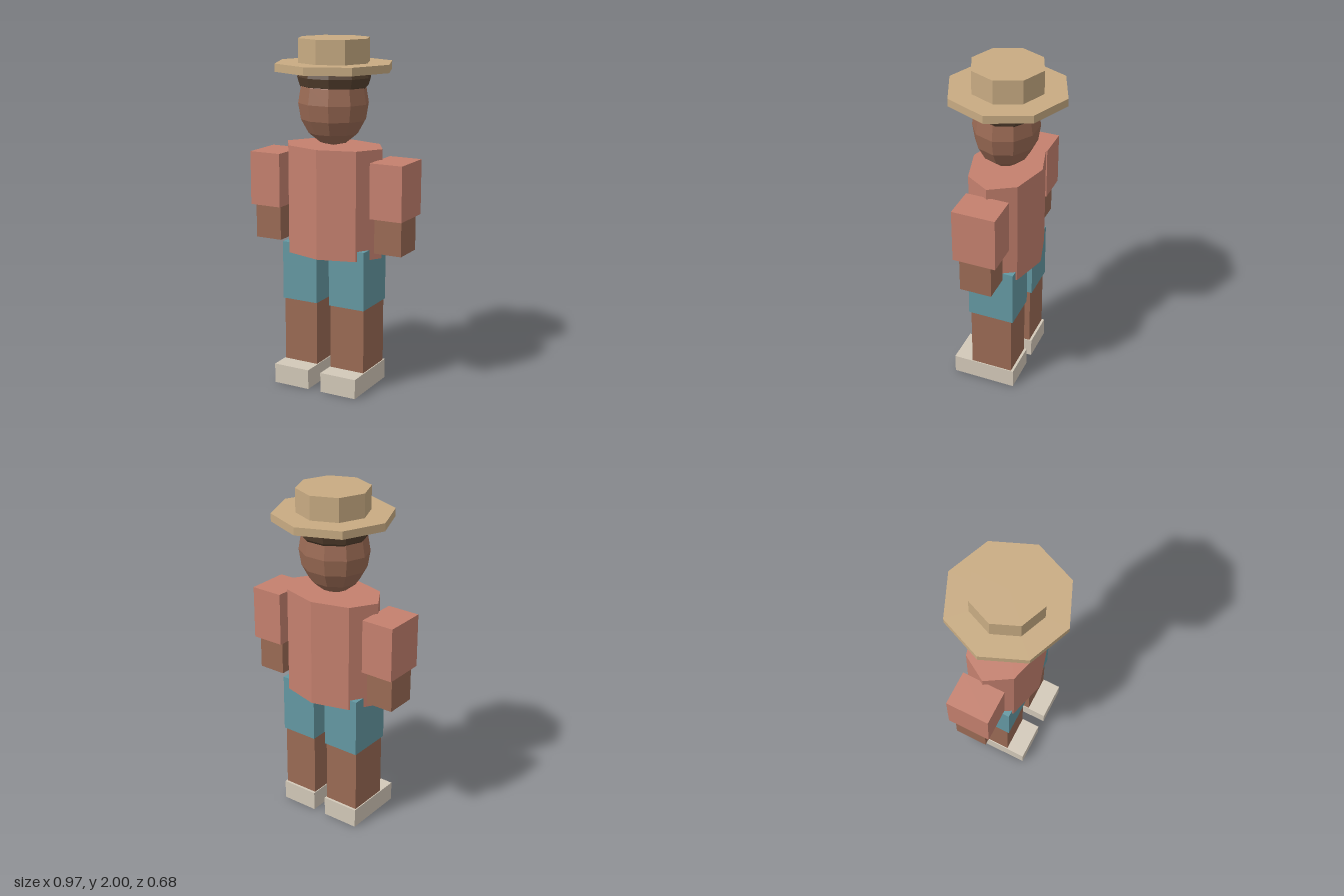
import * as THREE from 'three';

const paint = (color) => new THREE.MeshStandardMaterial({ color, flatShading: true });

export function createModel() {
  const model = new THREE.Group();
  const shirt = paint(0xc4806e), skin = paint(0x9a6a54), denim = paint(0x6498a2);
  const straw = paint(0xc8ab82), shoe = paint(0xd2c8b8), hair = paint(0x55402f);

  function add(name, geometry, material, parent = model) {
    const mesh = new THREE.Mesh(geometry, material);
    mesh.name = name;
    parent.add(mesh);
    return mesh;
  }

  // Box given by its limits on each axis
  function block(name, [x0, x1], [y0, y1], [z0, z1], material, parent) {
    const g = new THREE.BoxGeometry(x1 - x0, y1 - y0, z1 - z0);
    g.translate((x0 + x1) / 2, (y0 + y1) / 2, (z0 + z1) / 2);
    return add(name, g, material, parent);
  }

  // Eight-sided prism with separate half width and half depth
  function prism(name, rx, rz, y0, y1, material) {
    const g = new THREE.CylinderGeometry(1, 1, y1 - y0, 8);
    g.scale(rx, 1, rz).translate(0, (y0 + y1) / 2, 0);
    return add(name, g, material);
  }

  // Faceted ellipsoid
  function ball(name, rx, ry, rz, y, z, material) {
    const g = new THREE.SphereGeometry(1, 10, 8);
    g.scale(rx, ry, rz).translate(0, y, z);
    return add(name, g, material);
  }

  // Torso, head and hat
  prism('torso', 0.305, 0.205, 0.775, 1.4, shirt);
  ball('head', 0.205, 0.24, 0.185, 1.64, 0.008, skin);
  ball('hair', 0.214, 0.13, 0.194, 1.785, 0, hair);
  prism('hatBrim', 0.34, 0.34, 1.82, 1.865, straw);
  prism('hatCrown', 0.207, 0.207, 1.865, 2, straw);

  // Arms and legs, one set per side
  for (const [side, s] of [['left', 1], ['right', -1]]) {
    const span = (a, b) => (s > 0 ? [a, b] : [-b, -a]);

    const arm = new THREE.Group();
    arm.name = side + 'Arm';
    block(side + 'Sleeve', span(0.29, 0.485), [1.027, 1.34], [-0.125, 0.125], shirt, arm);
    block(side + 'Forearm', span(0.305, 0.47), [0.825, 1.027], [-0.093, 0.093], skin, arm);

    const leg = new THREE.Group();
    leg.name = side + 'Leg';
    block(side + 'ShortsLeg', span(0.04, 0.263), [0.492, 0.833], [-0.137, 0.137], denim, leg);
    block(side + 'Shin', span(0.045, 0.258), [0.115, 0.492], [-0.125, 0.125], skin, leg);
    block(side + 'Shoe', span(0.04, 0.264), [0, 0.115], [-0.14, 0.238], shoe, leg);

    model.add(arm, leg);
  }

  return model;
}
